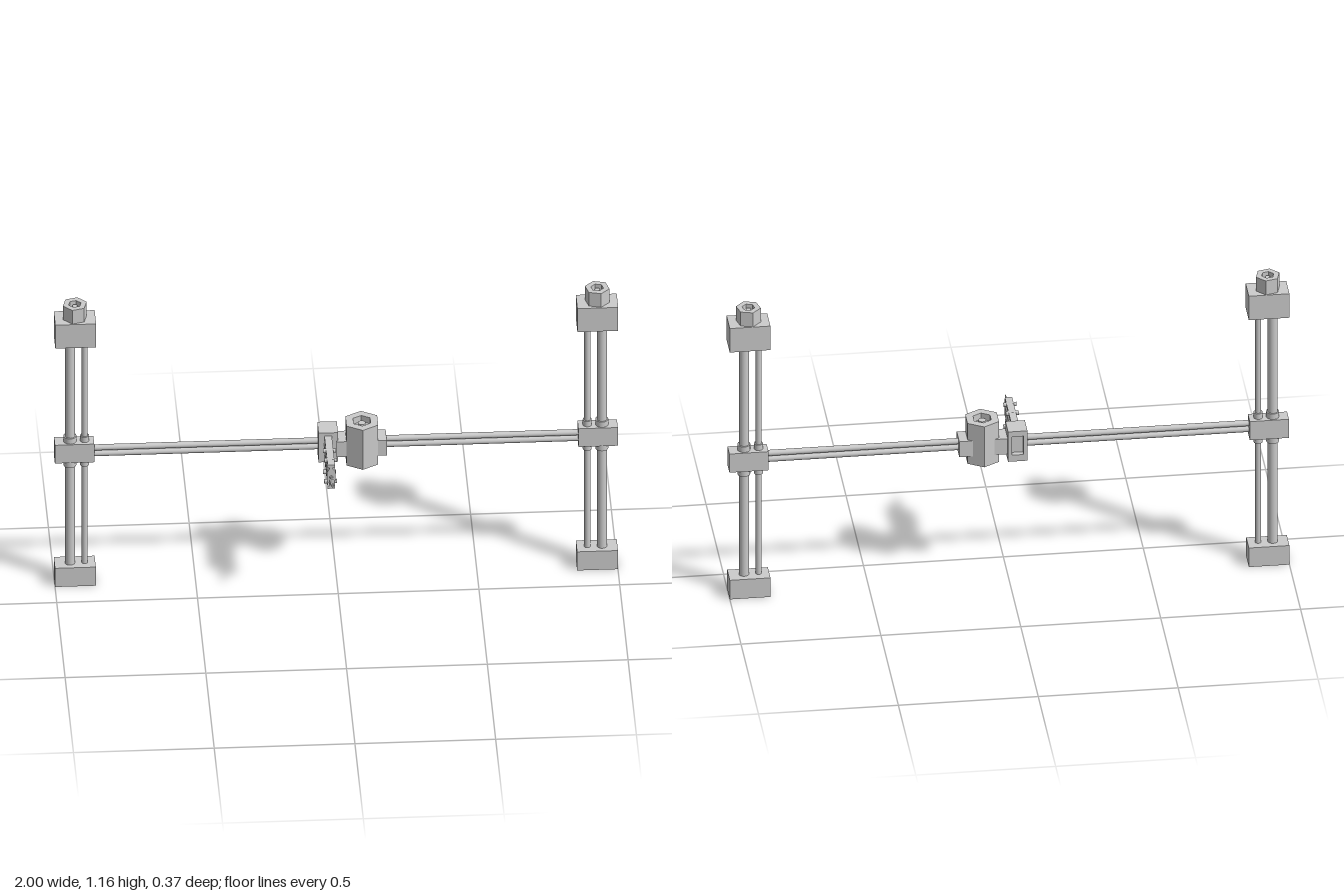
import * as THREE from 'three';

const mat = new THREE.MeshStandardMaterial({ color: 0xcccccc });
const flat = new THREE.MeshStandardMaterial({ color: 0xcccccc, flatShading: true });

function add(parent, name, geo, x = 0, y = 0, z = 0, m = mat) {
  const mesh = new THREE.Mesh(geo, m);
  mesh.name = name;
  mesh.position.set(x, y, z);
  parent.add(mesh);
  return mesh;
}

// Box from its minimum and maximum on each axis
function box(parent, name, x0, x1, y0, y1, z0, z1) {
  return add(parent, name, new THREE.BoxGeometry(x1 - x0, y1 - y0, z1 - z0),
    (x0 + x1) / 2, (y0 + y1) / 2, (z0 + z1) / 2);
}

function upright(parent, name, r, y0, y1, x, z, sides = 20) {
  return add(parent, name, new THREE.CylinderGeometry(r, r, y1 - y0, sides), x, (y0 + y1) / 2, z);
}

function polygon(r, sides, turn) {
  return Array.from({ length: sides }, (_, i) => {
    const a = turn + (i / sides) * Math.PI * 2;
    return new THREE.Vector2(r * Math.cos(a), r * Math.sin(a));
  });
}

// Hexagonal motor casing with a recess in its top
function hexMotor(parent, name, r, hole, holeSides, turn, y0, y1, x, z) {
  const g = new THREE.Group();
  g.name = name;
  g.position.set(x, 0, z);
  const depth = 0.025;
  const ring = new THREE.Shape(polygon(r, 6, turn));
  const base = new THREE.Shape(polygon(r, 6, turn));
  ring.holes.push(new THREE.Path(polygon(hole, holeSides, turn).reverse()));
  const solid = (s, d) => new THREE.ExtrudeGeometry(s, { depth: d, bevelEnabled: false }).rotateX(-Math.PI / 2);
  add(g, 'motorBody', solid(base, y1 - y0 - depth), 0, y0, 0);
  add(g, 'motorRim', solid(ring, depth), 0, y1 - depth, 0);
  upright(g, 'motorShaft', hole * 0.4, y1 - depth, y1 - 0.008, 0, 0, 12);
  parent.add(g);
}

// One post: foot, head, rods, sliding carriage; side is +1 or -1
function post(side) {
  const g = new THREE.Group();
  g.name = side > 0 ? 'leftPost' : 'rightPost';
  const z = -0.14;
  const block = (name, a, b, y0, y1, z0, z1) =>
    box(g, name, Math.min(side * a, side * b), Math.max(side * a, side * b), y0, y1, z0, z1);
  block('foot', 0.855, 1, 0, 0.078, -0.18, -0.104);
  block('head', 0.855, 1, 1.01, 1.108, -0.179, -0.087);
  block('slideBlock', 0.86, 1, 0.512, 0.588, -0.168, -0.113);
  for (const [name, x, r] of [['screw', 0.945, 0.018], ['guide', 0.893, 0.011]]) {
    upright(g, name + 'Rod', r, 0.07, 1.02, side * x, z);
    upright(g, name + 'Bushing', r + 0.005, 0.488, 0.61, side * x, z);
  }
  const turn = side > 0 ? -Math.PI / 12 : Math.PI / 12;
  hexMotor(g, 'postMotor', 0.0445, 0.023, 6, turn, 1.105, 1.165, side * 0.928, -0.134);
  return g;
}

// Tool holder: windowed block, finned body and pointed tip
function toolHead() {
  const g = new THREE.Group();
  g.name = 'toolHead';
  const cx = -0.03;

  // Carriage block with a recess in its back
  box(g, 'toolCarriage', -0.064, 0.005, 0.49, 0.612, -0.156, -0.1);
  const frame = new THREE.Shape([[-0.034, -0.061], [0.035, -0.061], [0.035, 0.061], [-0.034, 0.061]]
    .map(p => new THREE.Vector2(...p)));
  frame.holes.push(new THREE.Path([[-0.02, -0.035], [-0.02, 0.04], [0.021, 0.04], [0.021, -0.035]]
    .map(p => new THREE.Vector2(...p))));
  add(g, 'carriageBackFrame', new THREE.ExtrudeGeometry(frame, { depth: 0.02, bevelEnabled: false }),
    cx, 0.551, -0.176);

  // Body along z, widest at mid height
  const body = new THREE.CylinderGeometry(0.038, 0.038, 0.19, 6).rotateX(Math.PI / 2);
  body.scale(0.45, 1, 1);
  add(g, 'toolBody', body, cx, 0.549, -0.005, flat);
  box(g, 'toolSpine', cx - 0.006, cx + 0.006, 0.5, 0.598, -0.1, 0.092);

  // Clamp fins and bolts, top and bottom
  for (const y of [0.505, 0.593]) {
    box(g, 'clampFin', cx - 0.013, cx + 0.013, y - 0.006, y + 0.006, -0.1, 0.092);
    for (const z of [-0.012, 0.051]) {
      const bolt = new THREE.CylinderGeometry(0.008, 0.008, 0.046, 10).rotateZ(Math.PI / 2);
      add(g, 'clampBolt', bolt, cx, y, z);
    }
  }

  // Tip bends slightly upward toward its point
  const profile = [[0, 0], [0.006, 0], [0.006, 0.022], [0.011, 0.032], [0.008, 0.055], [0, 0.095]]
    .map(p => new THREE.Vector2(...p));
  const tip = new THREE.LatheGeometry(profile, 8).rotateX(Math.PI / 2);
  const pos = tip.attributes.position;
  for (let i = 0; i < pos.count; i++) {
    const t = pos.getZ(i) / 0.095;
    pos.setY(i, pos.getY(i) * 0.8 + 0.009 * t * t);
  }
  tip.computeVertexNormals();
  add(g, 'toolTip', tip, cx, 0.549, 0.09, flat);
  return g;
}

export function createModel() {
  const model = new THREE.Group();
  model.name = 'gantry';
  model.add(post(1), post(-1));

  // Pair of rails joining the two posts
  for (const y of [0.562, 0.538]) {
    const rail = new THREE.CylinderGeometry(0.011, 0.011, 1.74, 16).rotateZ(Math.PI / 2);
    add(model, 'crossRail', rail, 0, y, -0.132);
  }

  // Drive unit riding on the rails
  box(model, 'driveBlock', 0.0, 0.178, 0.515, 0.578, -0.165, -0.092);
  hexMotor(model, 'driveMotor', 0.065, 0.035, 6, Math.PI / 6, 0.48, 0.645, 0.091, -0.122);
  model.add(toolHead());
  return model;
}
